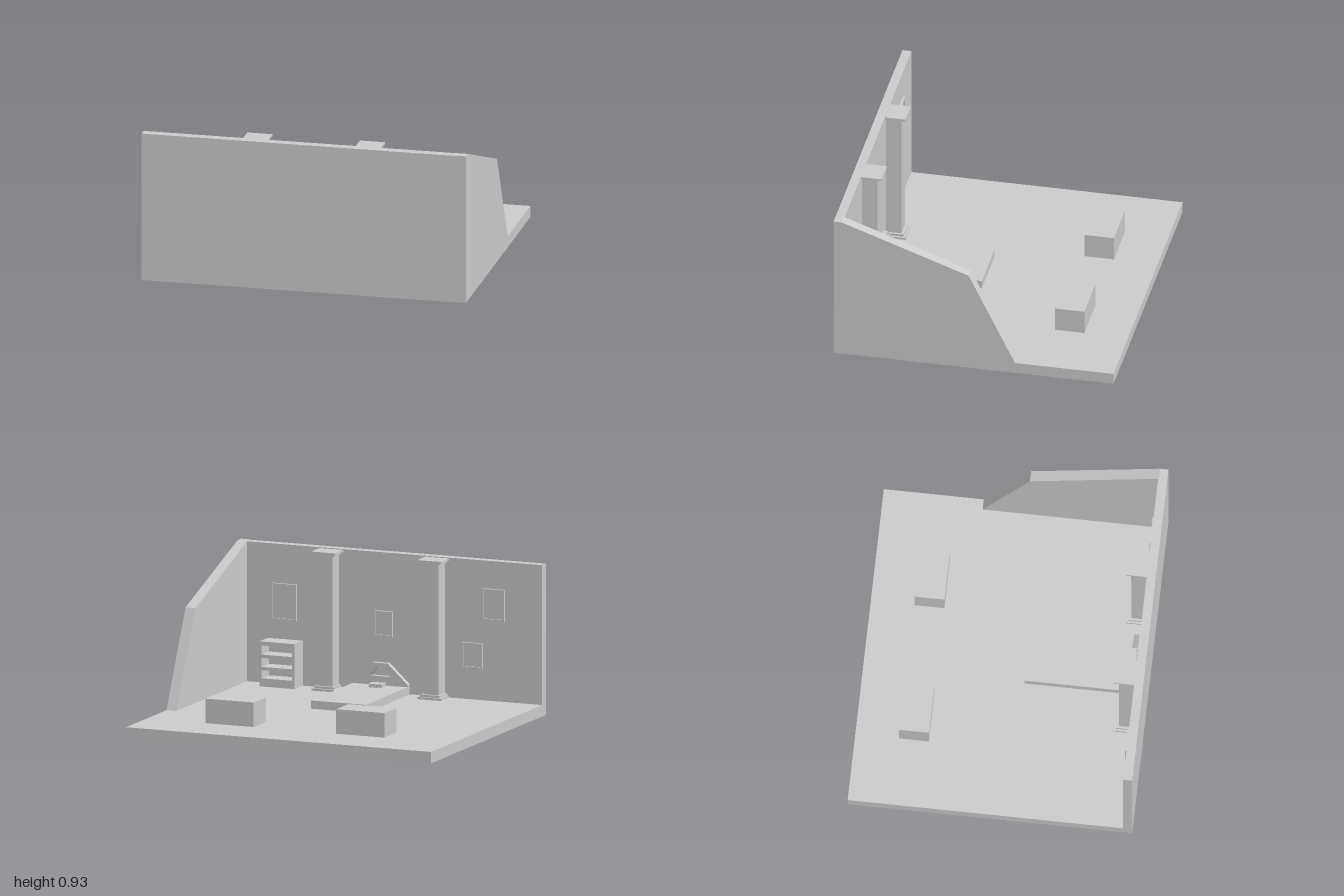
import * as THREE from 'three';

const material = new THREE.MeshStandardMaterial({ color: 0xcccccc, flatShading: true });
const FLOOR = 0.07, WALL_Z = 0.805;

// Box given by its low and high limits on each axis
function block(parent, name, [x0, x1], [y0, y1], [z0, z1]) {
  const mesh = new THREE.Mesh(new THREE.BoxGeometry(x1 - x0, y1 - y0, z1 - z0), material);
  mesh.position.set((x0 + x1) / 2, (y0 + y1) / 2, (z0 + z1) / 2);
  mesh.name = name;
  parent.add(mesh);
  return mesh;
}

const points = (list) => list.map(([x, y]) => new THREE.Vector2(x, y));

// Extruded outline with an optional hole
function plate(parent, name, outline, depth, hole) {
  const shape = new THREE.Shape(points(outline));
  if (hole) shape.holes.push(new THREE.Path(points(hole)));
  const mesh = new THREE.Mesh(new THREE.ExtrudeGeometry(shape, { depth, bevelEnabled: false }), material);
  mesh.name = name;
  parent.add(mesh);
  return mesh;
}

function group(parent, name) {
  const g = new THREE.Group();
  g.name = name;
  parent.add(g);
  return g;
}

const rect = (x0, x1, y0, y1, inset = 0) => [
  [x0 + inset, y0 + inset], [x1 - inset, y0 + inset], [x1 - inset, y1 - inset], [x0 + inset, y1 - inset],
];

// Square pillar with stepped base and capital, standing against the wall
function addColumn(parent, x) {
  const column = group(parent, 'column');
  const layers = [
    ['plinth', 0.0775, 0.68, FLOOR, 0.083],
    ['baseStep', 0.064, 0.694, 0.083, 0.097],
    ['shaft', 0.05, 0.71, 0.097, 0.895],
    ['capitalStep', 0.064, 0.694, 0.895, 0.908],
    ['capital', 0.0775, 0.68, 0.908, 0.92],
  ];
  for (const [name, half, front, y0, y1] of layers) {
    block(column, name, [x - half, x + half], [y0, y1], [front, WALL_Z]);
  }
}

// Picture with a raised border and recessed panel
function addPicture(parent, x0, x1, y0, y1) {
  const picture = group(parent, 'pictureFrame');
  plate(picture, 'border', rect(x0, x1, y0, y1), 0.015, rect(x0, x1, y0, y1, 0.012)).position.z = WALL_Z - 0.015;
  block(picture, 'panel', [x0 + 0.01, x1 - 0.01], [y0 + 0.01, y1 - 0.01], [WALL_Z - 0.006, WALL_Z]);
}

export function createModel() {
  const model = new THREE.Group();
  model.name = 'room';

  // Floor and walls
  block(model, 'floor', [-1, 1], [0, FLOOR], [-0.86, 0.86]);
  block(model, 'longWall', [-1, 0.935], [FLOOR, 0.925], [WALL_Z, 0.86]);
  const side = plate(model, 'sideWall',
    [[-0.255, FLOOR], [0.86, FLOOR], [0.86, 0.927], [0.81, 0.927], [0.03, 0.65]], 0.065);
  side.rotation.y = -Math.PI / 2;
  side.position.x = 1;

  // Two chests
  for (const x of [-0.42, 0.437]) {
    block(model, 'chest', [x - 0.158, x + 0.158], [0.08, 0.23], [-0.595, -0.415]);
  }

  // Columns
  for (const x of [-0.3125, 0.3825]) addColumn(model, x);

  // Bookcase
  const bookcase = group(model, 'bookcase');
  const front = 0.68;
  block(bookcase, 'back', [0.585, 0.785], [FLOOR, 0.345], [0.79, WALL_Z]);
  for (const x of [0.57, 0.785]) block(bookcase, 'sidePanel', [x, x + 0.015], [FLOOR, 0.345], [front, WALL_Z]);
  for (const [y0, y1] of [[FLOOR, 0.12], [0.17, 0.19], [0.245, 0.265], [0.32, 0.345]]) {
    block(bookcase, 'shelf', [0.585, 0.785], [y0, y1], [front, 0.79]);
  }

  // Low bed with pierced headboard
  const bed = group(model, 'bed');
  block(bed, 'mattress', [-0.145, 0.215], [0.075, 0.125], [0.115, 0.77]);
  plate(bed, 'headboard',
    [[-0.145, 0.125], [0.215, 0.125], [0.215, 0.14], [0.085, 0.26], [-0.015, 0.26], [-0.145, 0.14]], 0.03,
    [[-0.03, 0.18], [0.01, 0.23], [0.06, 0.23], [0.1, 0.18]]).position.z = 0.74;

  // Book lying on the bed
  const book = group(model, 'book');
  for (const y of [0.125, 0.142]) block(book, 'cover', [-0.015, 0.075], [y, y + 0.004], [0.65, 0.72]);
  block(book, 'pages', [-0.01, 0.07], [0.129, 0.142], [0.655, 0.715]);

  // Pictures on the wall
  const pictures = [
    [-0.755, -0.61, 0.56, 0.755], [-0.61, -0.475, 0.26, 0.417],
    [-0.02, 0.1, 0.41, 0.567], [0.61, 0.775, 0.46, 0.685],
  ];
  for (const p of pictures) addPicture(model, ...p);

  return model;
}
